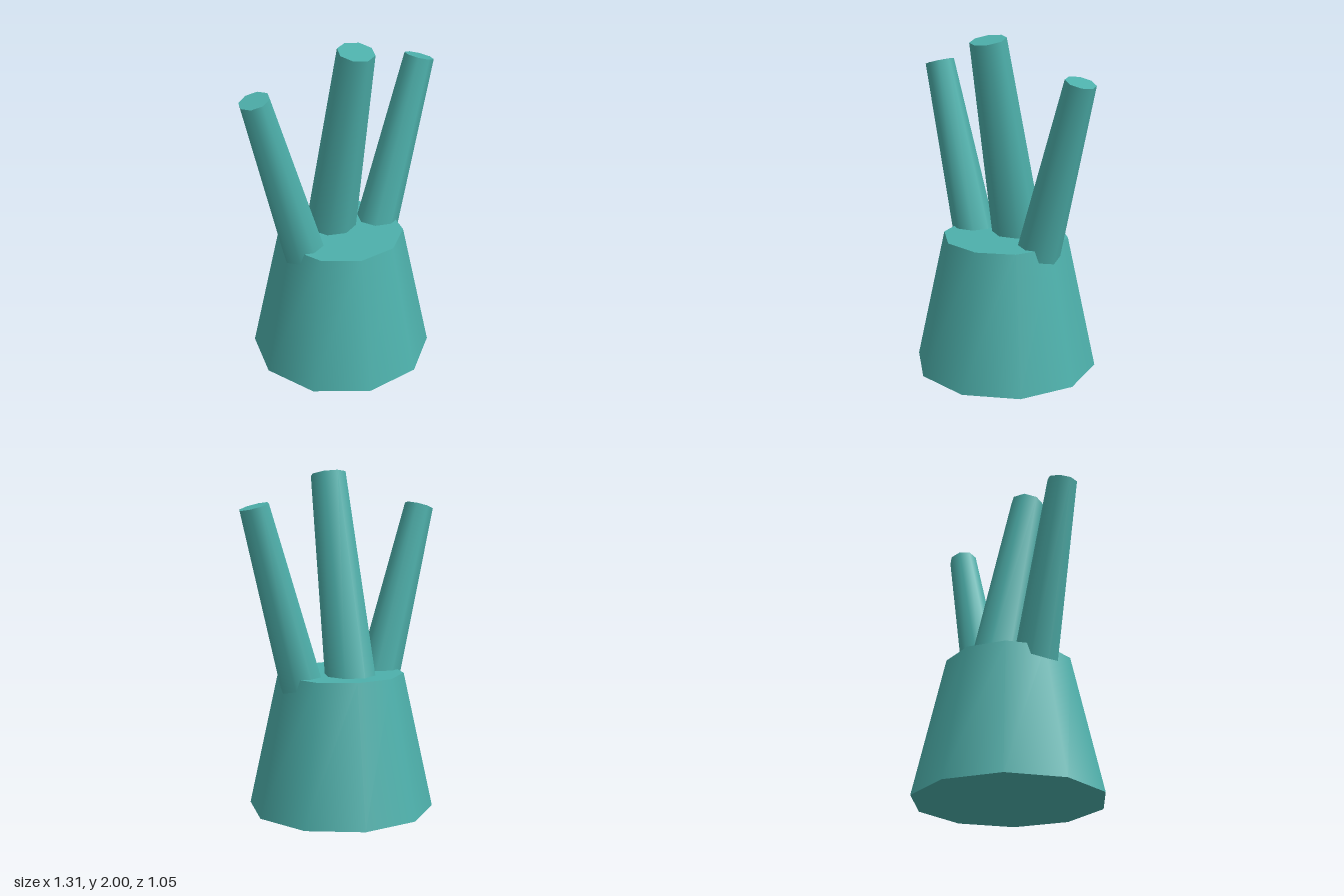
import * as THREE from 'three';

export function createModel() {
  const group = new THREE.Group();
  const teal = new THREE.MeshStandardMaterial({ color: 0x4db0ab });
  teal.name = 'teal';

  // Ten-sided tapered base with corners on the x axis
  const baseHeight = 0.81;
  const base = new THREE.Mesh(
    new THREE.CylinderGeometry(0.375, 0.552, baseHeight, 10, 1, false, Math.PI / 2), teal);
  base.name = 'base';
  base.position.y = baseHeight / 2;
  group.add(base);

  // Eight-sided tapered prong, running from inside the base to its tip
  function addProng(name, tip, tiltX, tiltZ, tipRadius, length) {
    const taper = 0.0378;
    const geometry = new THREE.CylinderGeometry(tipRadius, tipRadius + taper * length, length, 8);
    geometry.translate(0, -length / 2, 0); // pivot at the tip
    const prong = new THREE.Mesh(geometry, teal);
    prong.name = name;
    prong.position.set(...tip);
    prong.rotation.set(tiltX, 0, tiltZ);
    group.add(prong);
  }

  // Middle prong leans forward, the outer pair lean sideways
  addProng('middleProng', [0, 1.98, 0.138], 0.2, 0, 0.106, 1.35);
  for (const [name, side] of [['leftProng', 1], ['rightProng', -1]]) {
    addProng(name, [side * 0.569, 1.792, 0], 0, -side * 0.28, 0.088, 1.25);
  }

  return group;
}
